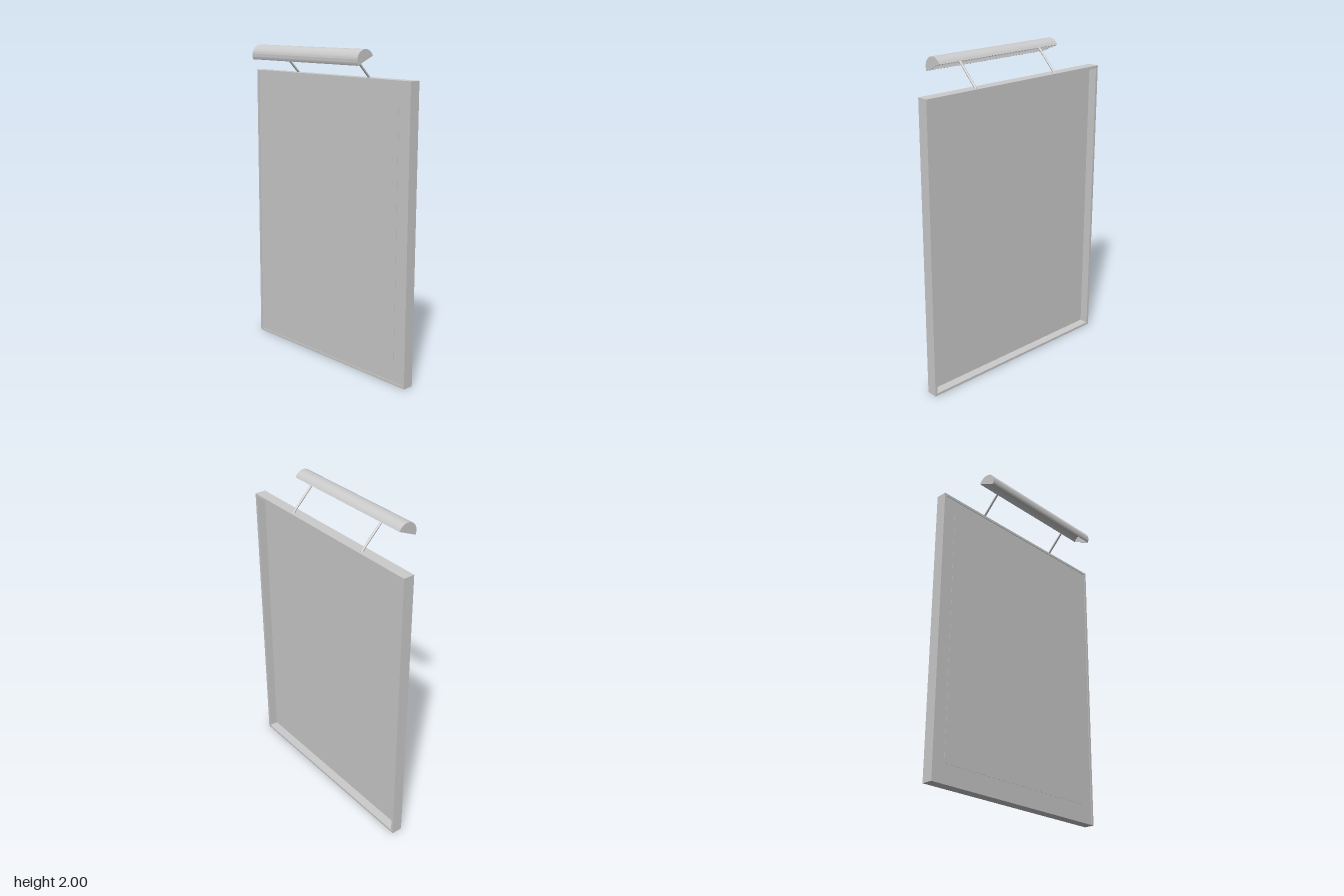
import * as THREE from 'three';
import { toCreasedNormals } from 'three/addons/utils/BufferGeometryUtils.js';

export function createModel() {
  const group = new THREE.Group();
  const material = new THREE.MeshStandardMaterial({ color: 0xcccccc });
  const add = (name, geometry, x = 0, y = 0, z = 0) => {
    const mesh = new THREE.Mesh(geometry, material);
    mesh.name = name;
    mesh.position.set(x, y, z);
    group.add(mesh);
    return mesh;
  };
  const rect = (shape, w, h) => shape
    .moveTo(-w / 2, -h / 2).lineTo(w / 2, -h / 2).lineTo(w / 2, h / 2).lineTo(-w / 2, h / 2).closePath();

  // Thin deep frame, open at the back
  const W = 1.366, H = 1.826, rim = 0.016, depth = 0.07, x0 = 0.067;
  const frameShape = rect(new THREE.Shape(), W, H);
  frameShape.holes.push(rect(new THREE.Path(), W - 2 * rim, H - 2 * rim));
  const frame = new THREE.ExtrudeGeometry(frameShape, { depth, bevelEnabled: false });
  frame.rotateY(Math.PI / 2);
  add('frame', frame, x0, H / 2);

  // Mount board set just inside the frame, with the picture on its lamp side
  add('mountBoard', new THREE.BoxGeometry(0.01, H - 2 * rim, W - 2 * rim), x0 + 0.009, H / 2);
  add('picture', new THREE.BoxGeometry(0.002, H - 0.235, W - 0.18), x0 + 0.0035, H / 2);

  // Picture lamp: hollow half-round shade with closed ends, tilted over the picture
  const cx = -0.074, cy = 1.935, r = 0.064, wall = 0.004, half = 0.468;
  const tilt = THREE.MathUtils.degToRad(24);
  const extrude = (shape, d) => toCreasedNormals(
    new THREE.ExtrudeGeometry(shape, { depth: d, bevelEnabled: false, curveSegments: 32 }), 0.6);

  const shellShape = new THREE.Shape();
  shellShape.absarc(0, 0, r, tilt, tilt + Math.PI, false);
  shellShape.absarc(0, 0, r - wall, tilt + Math.PI, tilt, true);
  add('lampShade', extrude(shellShape, 2 * half), cx, cy, -half);

  const capShape = new THREE.Shape();
  capShape.absarc(0, 0, r, tilt, tilt + Math.PI, false);
  for (const s of [-1, 1]) {
    add('lampShadeEnd', extrude(capShape, wall), cx, cy, s > 0 ? half - wall : -half);
  }

  // Two slanted arms from the frame top to the shade's rear edge
  const foot = new THREE.Vector3(0.117, H - 0.004, 0);
  const tip = new THREE.Vector3(cx + r * Math.cos(tilt) - 0.003, cy + r * Math.sin(tilt) - 0.002, 0);
  const dir = tip.clone().sub(foot);
  for (const s of [-1, 1]) {
    const mid = foot.clone().add(tip).multiplyScalar(0.5);
    const arm = add('lampArm', new THREE.CylinderGeometry(0.007, 0.007, dir.length(), 16), mid.x, mid.y, s * 0.315);
    arm.quaternion.setFromUnitVectors(new THREE.Vector3(0, 1, 0), dir.clone().normalize());
  }
  return group;
}
